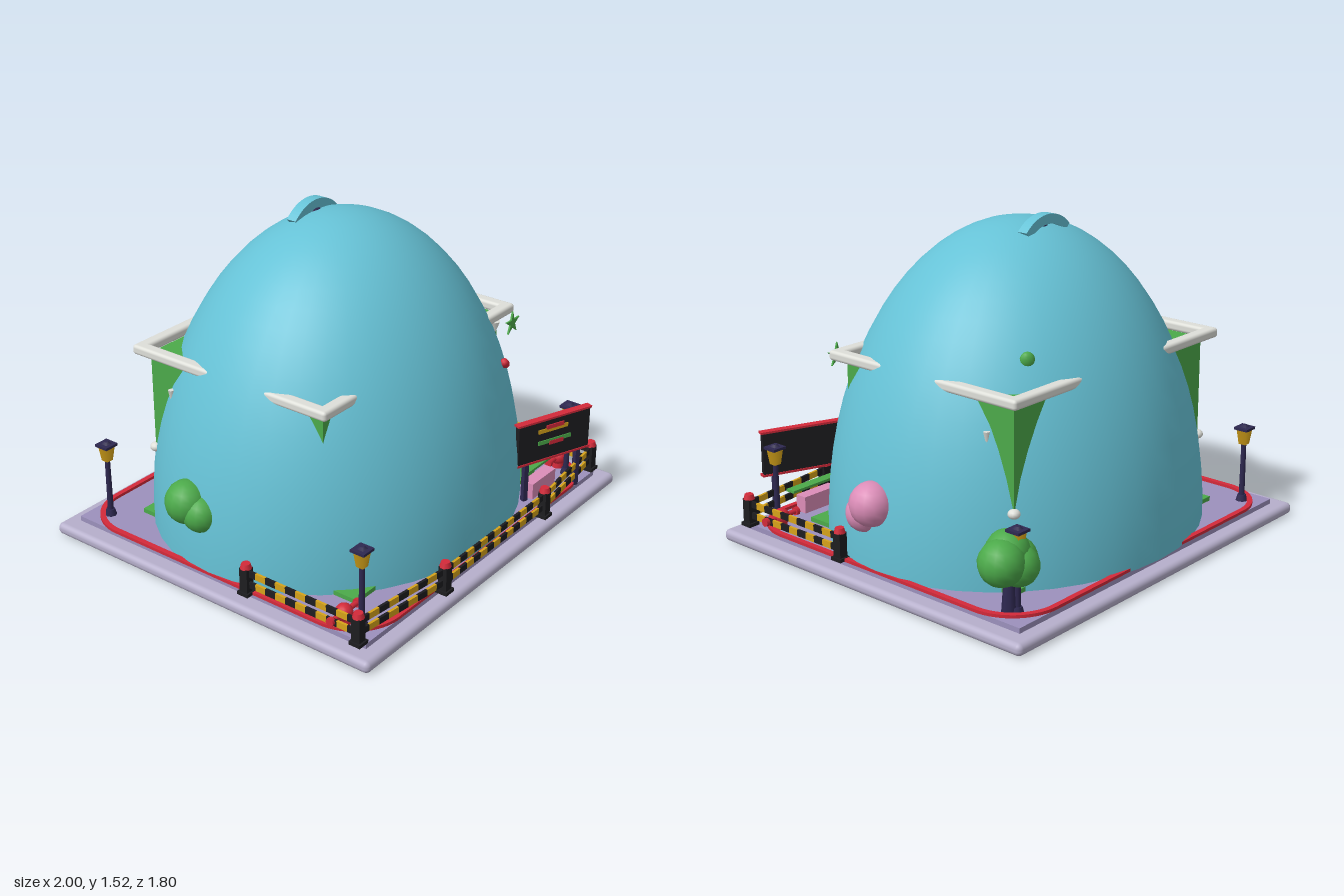
import * as THREE from 'three';
import { RoundedBoxGeometry } from 'three/addons/geometries/RoundedBoxGeometry.js';

const mat = (name, color) => new THREE.MeshStandardMaterial({ name, color });

export function createModel() {
  const M = {
    teal: mat('teal', 0x66c2d6), green: mat('green', 0x4caa4a), pink: mat('pink', 0xdc8db8),
    white: mat('offWhite', 0xdedfd9), red: mat('red', 0xd42a3a), yellow: mat('yellow', 0xd6a31a),
    black: mat('black', 0x1d1d20), navy: mat('navy', 0x2e2850),
    base: mat('lavender', 0xb6afcb), floor: mat('purple', 0x9c91bd),
  };
  const root = new THREE.Group();
  const add = (name, geo, m, x = 0, y = 0, z = 0, parent = root) => {
    const mesh = new THREE.Mesh(geo, m);
    mesh.name = name;
    mesh.position.set(x, y, z);
    parent.add(mesh);
    return mesh;
  };
  const group = (name, x = 0, y = 0, z = 0) => {
    const g = new THREE.Group();
    g.name = name;
    g.position.set(x, y, z);
    root.add(g);
    return g;
  };
  const box = (w, h, d) => new THREE.BoxGeometry(w, h, d);
  const cyl = (a, b, h, n = 10) => new THREE.CylinderGeometry(a, b, h, n);
  const ball = (r, n = 12) => new THREE.SphereGeometry(r, n, Math.round(n * 0.75));

  // Base slab and inner floor
  add('baseSlab', new RoundedBoxGeometry(2, 0.056, 1.8, 3, 0.025), M.base, 0, 0.028);
  add('floor', box(1.83, 0.04, 1.655), M.floor, 0, 0.06);

  // Red track: rounded rectangular ring
  const roundRect = (P, w, d, r) => {
    const s = new P();
    s.moveTo(w - r, -d);
    s.absarc(w - r, -d + r, r, -Math.PI / 2, 0, false);
    s.absarc(w - r, d - r, r, 0, Math.PI / 2, false);
    s.absarc(-w + r, d - r, r, Math.PI / 2, Math.PI, false);
    s.absarc(-w + r, -d + r, r, Math.PI, Math.PI * 1.5, false);
    s.closePath();
    return s;
  };
  const ring = roundRect(THREE.Shape, 0.925, 0.83, 0.24);
  ring.holes.push(roundRect(THREE.Path, 0.9, 0.805, 0.215));
  const track = new THREE.ExtrudeGeometry(ring, { depth: 0.014, bevelEnabled: false, curveSegments: 10 });
  add('track', track.rotateX(-Math.PI / 2), M.red, 0, 0.08);

  // Big dome and the little arched fin on its crown
  const dome = new THREE.SphereGeometry(1, 40, 18, 0, Math.PI * 2, 0, Math.PI / 2);
  add('dome', dome.scale(0.925, 1.41, 0.825), M.teal, 0, 0.08, -0.025);
  const arch = new THREE.Shape();
  arch.absarc(0, 0, 0.2, Math.PI * 0.24, Math.PI * 0.76, false);
  arch.absarc(0, -0.02, 0.175, Math.PI * 0.74, Math.PI * 0.26, true);
  arch.closePath();
  const fin = new THREE.ExtrudeGeometry(arch, { depth: 0.05, bevelEnabled: false, curveSegments: 10 });
  add('crownFin', fin, M.teal, -0.005, 1.322, -0.197);
  add('crownKnob', ball(0.03).scale(1.2, 0.6, 0.8), M.navy, -0.005, 1.465, -0.155);

  // Building whose corners pass through the dome
  add('lawn', box(1.42, 0.022, 1.24), M.green, 0, 0.09);
  add('hallWalls', box(1.31, 0.81, 0.975), M.green, 0, 0.49, -0.085);
  for (const z of [-0.6, 0.43]) add('eaveBeam', new RoundedBoxGeometry(1.43, 0.046, 0.06, 2, 0.015), M.white, 0, 0.914, z);
  for (const s of [-1, 1]) {
    add('sideEave', new RoundedBoxGeometry(0.06, 0.046, 1.09, 2, 0.015), M.white, s * 0.685, 0.914, -0.085);
    add('cornerKnob', ball(0.028).scale(1, 0.8, 1), M.white, s * 0.655, 0.42, -0.572);
    const spike = add('wallSpike', new THREE.ConeGeometry(0.015, 0.07, 6), M.white, s * 0.675, 0.72, -0.44);
    spike.rotation.x = Math.PI;
  }
  const thorn = add('frontSpike', new THREE.ConeGeometry(0.025, 0.06, 6), M.white, 0.565, 0.865, 0.45);
  thorn.rotation.x = Math.PI;

  // Small ornaments sitting on the dome
  const star = new THREE.Shape();
  for (let i = 0; i < 10; i++) {
    const r = i % 2 ? 0.02 : 0.058, a = Math.PI / 2 + i * Math.PI / 5;
    star[i ? 'lineTo' : 'moveTo'](r * Math.cos(a), r * Math.sin(a));
  }
  star.closePath();
  add('leafStar', new THREE.ExtrudeGeometry(star, { depth: 0.009, bevelEnabled: false }), M.green, 0.615, 0.885, 0.506);
  const bud = add('redBud', new THREE.CapsuleGeometry(0.02, 0.015, 3, 8), M.red, 0.44, 0.768, 0.59);
  bud.rotation.z = 0.7;
  const leaf = add('greenBud', ball(0.03).scale(1.1, 1.2, 0.7), M.green, 0.46, 1.02, -0.475);
  leaf.rotation.y = -0.7;

  // Clustered bushes: [x, y, z, radius]
  const bush = (name, m, lobes) => {
    const g = group(name);
    for (const [x, y, z, r] of lobes) add('lobe', ball(r, 14), m, x, y, z, g);
  };
  bush('pinkBush', M.pink, [[0.9, 0.385, 0.015, 0.1], [0.885, 0.325, 0.075, 0.085]]);
  bush('leftBush', M.green, [[-0.89, 0.385, -0.165, 0.1], [-0.885, 0.35, -0.09, 0.085]]);
  bush('cornerTree', M.green, [[0.89, 0.32, -0.71, 0.1], [0.77, 0.29, -0.68, 0.095], [0.83, 0.345, -0.69, 0.095], [0.81, 0.29, -0.73, 0.09]]);
  add('treeTrunk', cyl(0.025, 0.035, 0.15, 8), M.navy, 0.83, 0.15, -0.7);

  // Lamp posts
  for (const x of [-0.815, 0.815]) for (const z of [-0.73, 0.73]) {
    const g = group('lamp', x, 0.08, z);
    add('foot', cyl(0.02, 0.028, 0.03, 8), M.navy, 0, 0.015, 0, g);
    add('pole', cyl(0.012, 0.014, 0.29, 8), M.navy, 0, 0.145, 0, g);
    add('lantern', cyl(0.038, 0.025, 0.075, 4).rotateY(Math.PI / 4), M.yellow, 0, 0.322, 0, g);
    add('cap', box(0.072, 0.012, 0.072), M.navy, 0, 0.363, 0, g);
    add('capTip', cyl(0.012, 0.026, 0.014, 4).rotateY(Math.PI / 4), M.navy, 0, 0.374, 0, g);
  }

  // Barrier: capped posts and striped rails
  const posts = [[-0.93, 0.2], [-0.93, 0.8], [-0.4, 0.86], [0.4, 0.86], [0.92, 0.8], [0.92, 0.2]];
  posts.forEach(([x, z], i) => {
    const g = group('barrierPost', x, 0.08, z);
    add('foot', box(0.058, 0.016, 0.058), M.black, 0, 0.008, 0, g);
    add('post', box(0.042, 0.13, 0.042), M.black, 0, 0.065, 0, g);
    add('cap', cyl(0.02, 0.027, 0.024, 10), M.red, 0, 0.14, 0, g);
    if (!i) return;
    const [px, pz] = posts[i - 1];
    const len = Math.hypot(x - px, z - pz), n = 2 * Math.round(len / 0.12) + 1;
    const rail = group('barrierRails', (x + px) / 2, 0, (z + pz) / 2);
    rail.rotation.y = -Math.atan2(z - pz, x - px);
    for (const y of [0.132, 0.186]) for (let k = 0; k < n; k++) {
      add('railStripe', box(len / n, 0.03, 0.012), k % 2 ? M.yellow : M.black, (k + 0.5 - n / 2) * len / n, y, 0, rail);
    }
  });

  // Red valves with cross bars
  for (const s of [-1, 1]) {
    const g = group('valve', s * 0.85, 0.135, 0.665);
    add('body', ball(0.04), M.red, 0, 0, 0, g);
    add('stem', cyl(0.025, 0.03, 0.055), M.red, 0, -0.028, 0, g);
    add('bar', cyl(0.012, 0.012, 0.19, 8).rotateZ(Math.PI / 2), M.red, 0, 0, 0, g);
    for (const t of [-1, 1]) add('barEnd', cyl(0.02, 0.02, 0.018, 8).rotateZ(Math.PI / 2), M.red, t * 0.09, 0, 0, g);
  }

  // Signboard on legs, with plain coloured bars on its face
  const sign = group('signboard', 0.607, 0, 0.765);
  sign.rotation.y = -0.367;
  add('panel', box(0.41, 0.2, 0.028), M.black, 0, 0.38, 0, sign);
  for (const y of [0.278, 0.486]) add('trim', box(0.425, 0.01, 0.036), M.red, 0, y, 0, sign);
  for (const x of [-0.15, 0.15]) add('leg', box(0.024, 0.2, 0.024), M.navy, x, 0.18, 0, sign);
  for (const [m, w, y, x] of [[M.yellow, 0.17, 0.43, -0.01], [M.red, 0.1, 0.445, 0], [M.green, 0.19, 0.37, 0], [M.red, 0.08, 0.36, 0.01]]) {
    add('signBar', box(w, 0.02, m === M.red ? 0.008 : 0.005), m, x, y, 0.0155, sign);
  }
  add('kioskCounter', box(0.2, 0.08, 0.06), M.pink, 0.58, 0.13, 0.72);
  add('kioskShelf', box(0.28, 0.012, 0.05), M.green, 0.62, 0.222, 0.7);

  return root;
}
